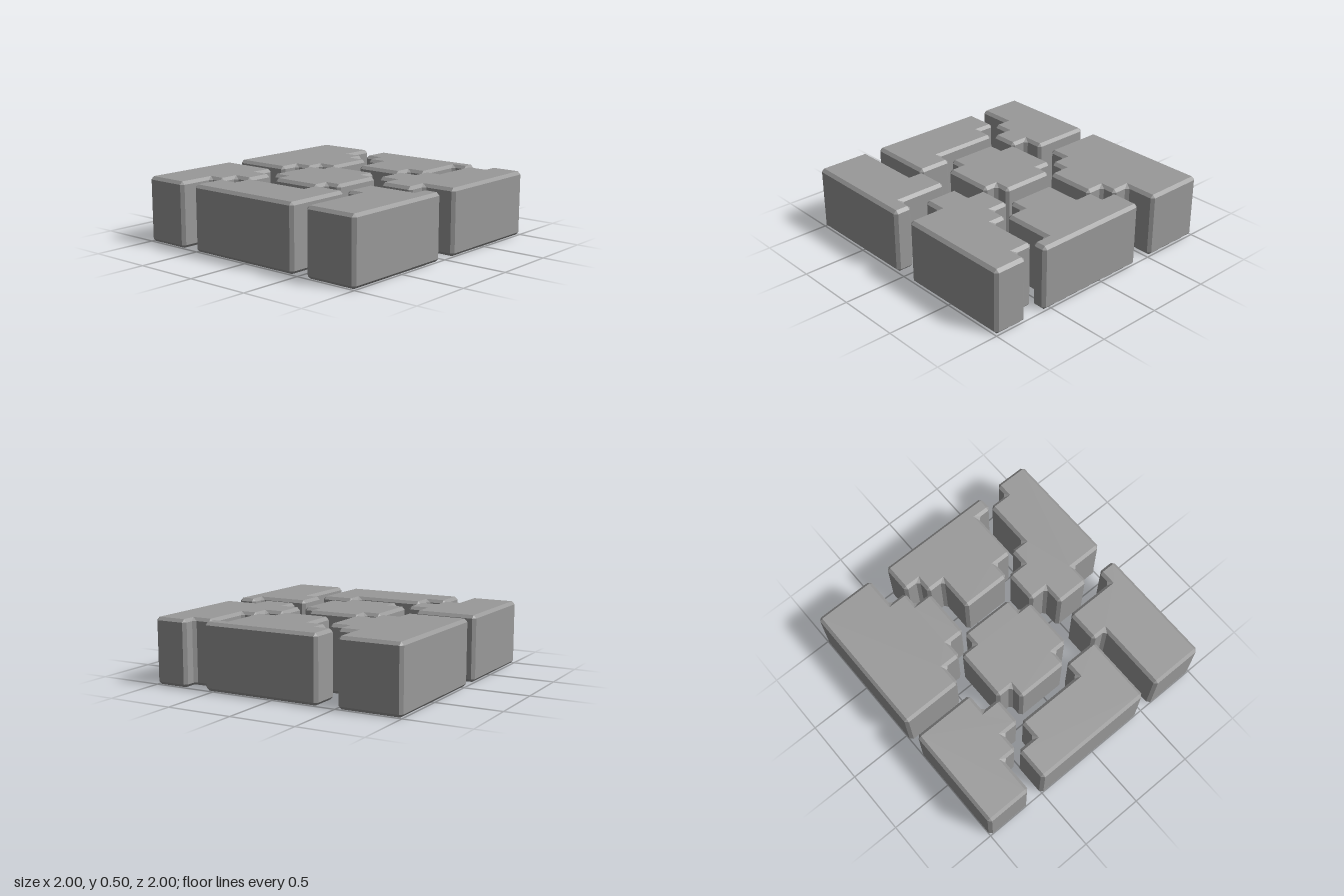
import * as THREE from 'three';

const HEIGHT = 0.5;
const CHAMFER = 0.023;

// Stepped outlines as [x, z] corners, seen from above
const OUTLINES = {
  backLeftBlock: [[-1, -1], [-0.515, -1], [-0.515, -0.75], [-0.375, -0.75], [-0.375, -0.625], [-0.235, -0.625],
    [-0.235, -0.225], [-0.375, -0.225], [-0.375, -0.095], [-0.515, -0.095], [-0.515, 0.06], [-1, 0.06]],
  backMiddleBlock: [[-0.36, -1], [0.57, -1], [0.57, -0.88], [0.445, -0.88], [0.445, -0.49], [0.3, -0.49],
    [0.3, -0.36], [-0.095, -0.36], [-0.095, -0.64], [-0.235, -0.64], [-0.235, -0.76], [-0.36, -0.76]],
  backRightBlock: [[0.735, -1], [1, -1], [1, -0.095], [0.735, -0.095], [0.735, 0.06], [0.46, 0.06],
    [0.46, -0.095], [0.315, -0.095], [0.315, -0.36], [0.46, -0.36], [0.46, -0.5], [0.58, -0.5],
    [0.58, -0.89], [0.735, -0.89]],
  centreBlock: [[-0.24, -0.21], [0.185, -0.21], [0.185, -0.09], [0.295, -0.09], [0.295, 0.33], [0.175, 0.33],
    [0.175, 0.445], [-0.24, 0.445], [-0.24, 0.33], [-0.365, 0.33], [-0.365, -0.095], [-0.24, -0.095]],
  frontLeftBlock: [[-1, 0.18], [-0.515, 0.18], [-0.515, 0.34], [-0.375, 0.34], [-0.375, 0.57], [-0.515, 0.57],
    [-0.515, 0.715], [-0.635, 0.715], [-0.635, 1], [-1, 1]],
  frontMiddleBlock: [[-0.51, 0.73], [-0.36, 0.73], [-0.36, 0.58], [0.18, 0.58], [0.18, 0.455], [0.455, 0.455],
    [0.455, 1], [-0.51, 1]],
  frontRightBlock: [[0.46, 0.18], [0.855, 0.18], [0.855, 0.06], [1, 0.06], [1, 1], [0.575, 1],
    [0.575, 0.445], [0.46, 0.445]],
};

// Prism whose horizontal and vertical edges are all chamfered
function chamferedPrism(outline, height, c) {
  const pts = outline.map(([x, z]) => new THREE.Vector2(x, z));
  const n = pts.length;
  const cap = [];
  const wall = [];
  pts.forEach((p, i) => {
    const d0 = p.clone().sub(pts[(i + n - 1) % n]).normalize();
    const d1 = pts[(i + 1) % n].clone().sub(p).normalize();
    cap.push(new THREE.Vector2(p.x - c * (d0.y + d1.y), p.y + c * (d0.x + d1.x)));
    wall.push(p.clone().addScaledVector(d0, -c), p.clone().addScaledVector(d1, c));
  });

  const positions = [];
  const at = (p, y) => new THREE.Vector3(p.x, y, p.y);
  const tri = (a, b, d) => {
    if (new THREE.Triangle(a, b, d).getArea() > 1e-9) {
      for (const v of [a, b, d]) positions.push(v.x, v.y, v.z);
    }
  };

  // Sides: lower chamfer, wall, upper chamfer (each cap corner serves two wall points)
  const capRing = cap.flatMap((p) => [p, p]);
  const rings = [[capRing, 0], [wall, c], [wall, height - c], [capRing, height]]
    .map(([ring, y]) => ring.map((p) => at(p, y)));
  for (let r = 0; r < 3; r++) {
    for (let i = 0; i < 2 * n; i++) {
      const j = (i + 1) % (2 * n);
      tri(rings[r][j], rings[r][i], rings[r + 1][i]);
      tri(rings[r][j], rings[r + 1][i], rings[r + 1][j]);
    }
  }

  // Flat top and bottom
  for (const [a, b, d] of THREE.ShapeUtils.triangulateShape(cap, [])) {
    tri(at(cap[a], 0), at(cap[b], 0), at(cap[d], 0));
    tri(at(cap[a], height), at(cap[d], height), at(cap[b], height));
  }

  const geometry = new THREE.BufferGeometry();
  geometry.setAttribute('position', new THREE.Float32BufferAttribute(positions, 3));
  geometry.computeVertexNormals();
  return geometry;
}

export function createModel() {
  const model = new THREE.Group();
  model.name = 'steppedBlocks';
  const grey = new THREE.MeshStandardMaterial({ color: 0x999999 });
  grey.name = 'stone grey';

  for (const [name, outline] of Object.entries(OUTLINES)) {
    const block = new THREE.Mesh(chamferedPrism(outline, HEIGHT, CHAMFER), grey);
    block.name = name;
    model.add(block);
  }
  return model;
}
